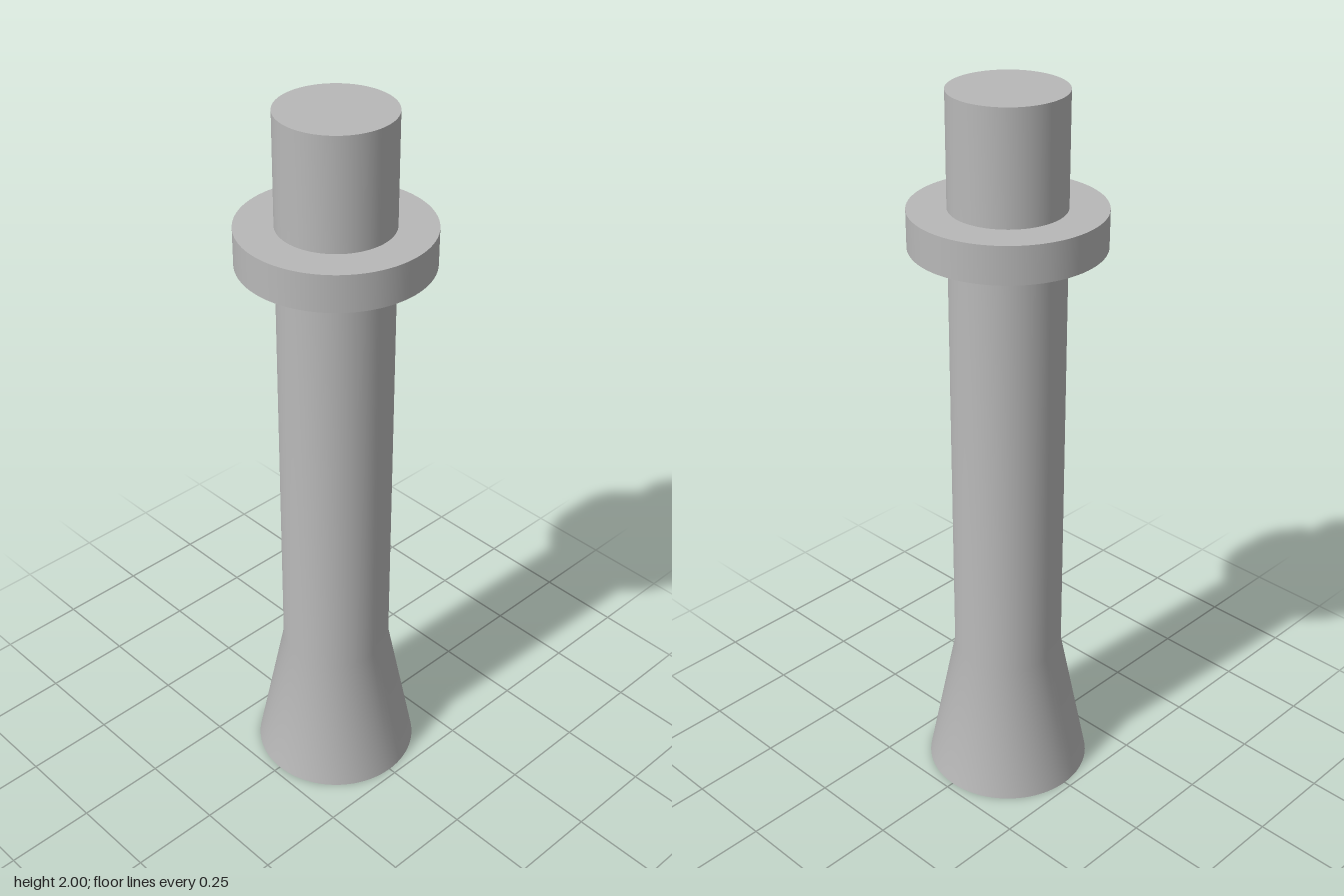
import * as THREE from 'three';

const SEGMENTS = 96;

export function createModel() {
  const model = new THREE.Group();
  model.name = 'flaredPin';
  const grey = new THREE.MeshStandardMaterial({ color: 0xb8b8b8 });
  grey.name = 'grey';

  const add = (name, geometry, y) => {
    const mesh = new THREE.Mesh(geometry, grey);
    mesh.name = name;
    mesh.position.y = y;
    model.add(mesh);
  };

  // Shaft with flared foot, smooth across the joint
  const profile = [[0.229, 0], [0.151, 0.4], [0.151, 2]].map(([r, y]) => new THREE.Vector2(r, y));
  add('shaftAndFlaredFoot', new THREE.LatheGeometry(profile, SEGMENTS), 0);

  // Flat end faces
  add('topFace', new THREE.CircleGeometry(0.151, SEGMENTS).rotateX(-Math.PI / 2), 2);
  add('bottomFace', new THREE.CircleGeometry(0.229, SEGMENTS).rotateX(Math.PI / 2), 0);

  // Collar ring around the upper shaft
  add('collar', new THREE.CylinderGeometry(0.252, 0.252, 0.1, SEGMENTS), 1.653);

  return model;
}
